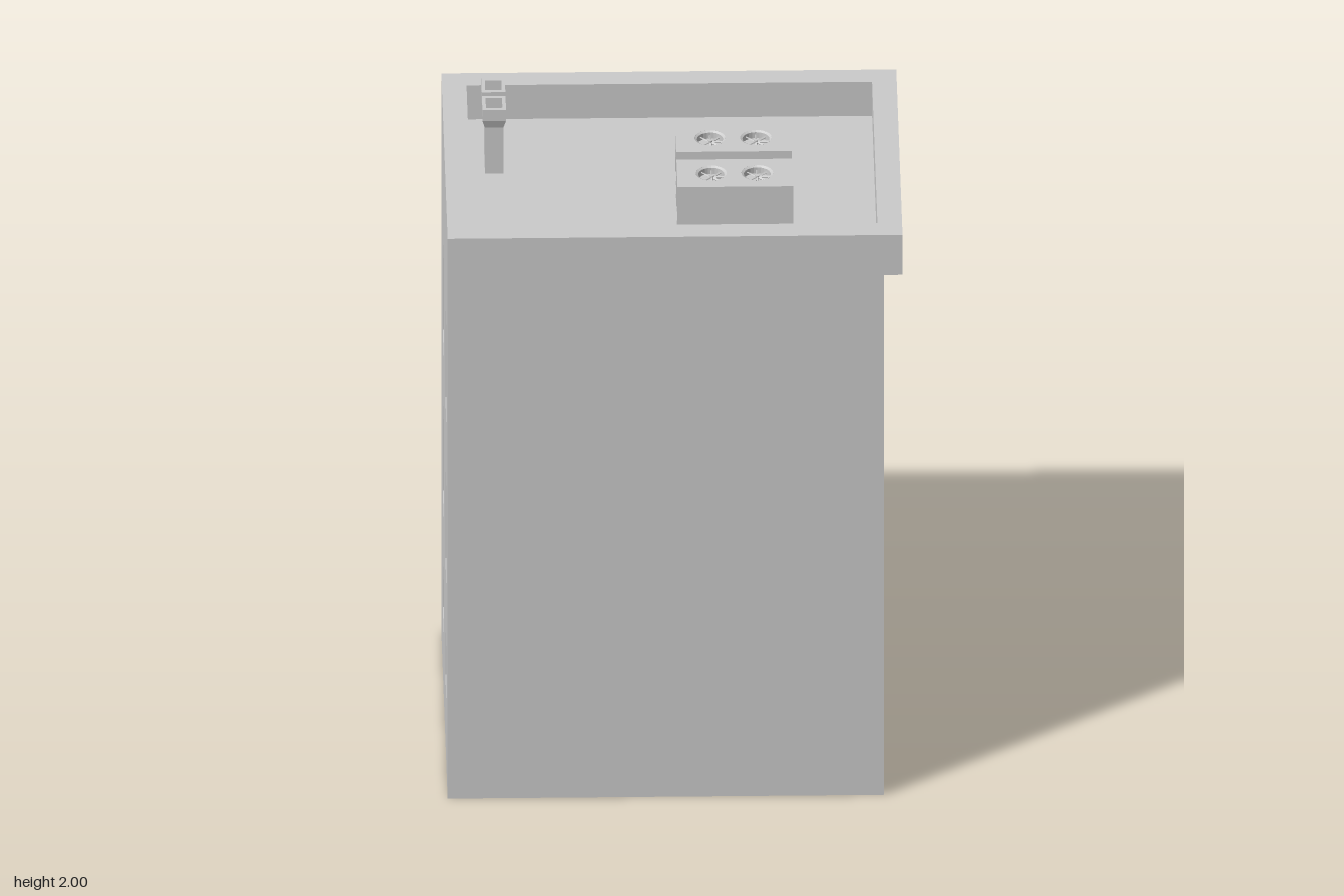
import * as THREE from 'three';

const mat = new THREE.MeshStandardMaterial({ color: 0xcccccc, side: THREE.DoubleSide, flatShading: true });

const H = 1.895, ROOF = 1.78, DEPTH = 0.05;
const X0 = -0.675, X1 = 0.62, XC = 0.675, Z = 0.51;

function add(parent, geometry, name, x = 0, y = 0, z = 0) {
  const mesh = new THREE.Mesh(geometry, mat);
  mesh.name = name;
  mesh.position.set(x, y, z);
  parent.add(mesh);
  return mesh;
}

function box(parent, name, x0, x1, y0, y1, z0, z1) {
  return add(parent, new THREE.BoxGeometry(x1 - x0, y1 - y0, z1 - z0), name,
    (x0 + x1) / 2, (y0 + y1) / 2, (z0 + z1) / 2);
}

const poly = (pts, Type = THREE.Shape) => new Type(pts.map(p => new THREE.Vector2(...p)));
const rect = (x0, y0, x1, y1, Type) => poly([[x0, y0], [x1, y0], [x1, y1], [x0, y1]], Type);

// Rectangular sash with a pane set into it
function sash(parent, name, x0, y0, x1, y1, z, border = 0.013, thick = 0.013) {
  const shape = rect(x0, y0, x1, y1);
  shape.holes.push(rect(x0 + border, y0 + border, x1 - border, y1 - border, THREE.Path));
  add(parent, new THREE.ExtrudeGeometry(shape, { depth: thick, bevelEnabled: false }), name, 0, 0, z);
  add(parent, new THREE.ShapeGeometry(rect(x0, y0, x1, y1)), name + 'Pane', 0, 0, z + 0.002);
}

// Sides of an opening, running back from the wall face
function reveal(parent, x0, y0, x1, y1, withSill = true) {
  const w = x1 - x0, h = y1 - y0, cx = (x0 + x1) / 2, cy = (y0 + y1) / 2;
  for (const x of [x0, x1])
    add(parent, new THREE.PlaneGeometry(DEPTH, h), 'jamb', x, cy, -DEPTH / 2).rotation.y = x === x0 ? Math.PI / 2 : -Math.PI / 2;
  add(parent, new THREE.PlaneGeometry(w, DEPTH), 'lintel', cx, y1, -DEPTH / 2).rotation.x = Math.PI / 2;
  if (withSill)
    add(parent, new THREE.PlaneGeometry(w, DEPTH), 'sill', cx, y0, -DEPTH / 2).rotation.x = -Math.PI / 2;
}

function makeWindow(parent, [x0, y0, x1, y1]) {
  const g = new THREE.Group();
  g.name = 'window';
  reveal(g, x0, y0, x1, y1);
  if (y1 - y0 > 0.25) {
    const mid = (y0 + y1) / 2;
    sash(g, 'upperSash', x0, mid - 0.006, x1, y1, -DEPTH + 0.015);
    sash(g, 'lowerSash', x0, y0, x1, mid + 0.006, -DEPTH);
  } else sash(g, 'smallSash', x0, y0, x1, y1, -DEPTH);
  parent.add(g);
}

// Four tall panels filling the wide entrance
function makeDoor(parent, x0, x1, top) {
  const g = new THREE.Group();
  g.name = 'entrance';
  reveal(g, x0, 0, x1, top, false);
  const w = (x1 - x0) / 4;
  for (let i = 0; i < 4; i++)
    sash(g, 'doorPanel', x0 + i * w, 0, x0 + (i + 1) * w, top, -DEPTH, 0.014, 0.016);
  parent.add(g);
}

// Wall in its own plane facing +z, with windows and an optional door
function makeWall(name, x0, x1, windows = [], door = null) {
  const g = new THREE.Group();
  g.name = name;
  const outline = [[x0, 0]];
  if (door) outline.push([door[0], 0], [door[0], door[2]], [door[1], door[2]], [door[1], 0]);
  outline.push([x1, 0], [x1, H], [x0, H]);
  const shape = poly(outline);
  for (const w of windows) shape.holes.push(rect(...w, THREE.Path));
  add(g, new THREE.ShapeGeometry(shape), name + 'Face');
  windows.forEach(w => makeWindow(g, w));
  if (door) makeDoor(g, ...door);
  return g;
}

// Window openings for a column centre: two tall ones, and a small one at ground level
const tall = cx => [[cx - 0.095, 0.6, cx + 0.095, 0.93], [cx - 0.095, 1.145, cx + 0.095, 1.475]];
const small = cx => [cx - 0.087, 0.21, cx + 0.087, 0.387];

function makeChimney(x, z) {
  const g = new THREE.Group();
  g.name = 'chimney';
  // Square flue: shaft, flared cap and open inside
  const profile = [[0.78, ROOF], [0.78, 1.935], [1, 1.962], [1, 2], [0.7, 2], [0.7, 1.9], [0, 1.9]]
    .map(([r, y]) => new THREE.Vector2(r * Math.SQRT2, y));
  const geo = new THREE.LatheGeometry(profile, 4, Math.PI / 4);
  geo.scale(0.035, 1, 0.043);
  add(g, geo, 'flue');
  g.position.set(x, 0, z);
  return g;
}

function makeRoofUnit(z0, z1) {
  const g = new THREE.Group();
  g.name = 'coolingUnit';
  const x0 = 0.01, x1 = 0.355, top = 1.945, slab = 0.025, cz = (z0 + z1) / 2;
  box(g, 'core', x0 + 0.007, x1 - 0.007, ROOF, top - slab, z0 + 0.007, z1 - 0.007);
  box(g, 'baseRail', x0, x1, ROOF, ROOF + 0.014, z0, z1);
  for (const x of [x0, x1 - 0.014])
    for (const z of [z0, z1 - 0.014])
      box(g, 'cornerPost', x, x + 0.014, ROOF, top - slab, z, z + 0.014);
  // Lid with two round fan openings
  const lid = rect(x0, -z1, x1, -z0);
  for (const fx of [0.113, 0.25]) {
    lid.holes.push(new THREE.Path().absarc(fx, -cz, 0.047, 0, Math.PI * 2, true));
    const fan = new THREE.Group();
    fan.name = 'fan';
    fan.position.set(fx, top, cz);
    const rim = [[0.047, 0], [0.04, -0.004], [0.04, -0.024]].map(p => new THREE.Vector2(...p));
    add(fan, new THREE.LatheGeometry(rim, 24), 'fanRim');
    add(fan, new THREE.CylinderGeometry(0.006, 0.006, 0.012, 12), 'hub', 0, -0.014, 0);
    for (let i = 0; i < 8; i++) {
      const geo = new THREE.BoxGeometry(0.036, 0.003, 0.006).rotateX(0.5).translate(0.022, 0, 0);
      add(fan, geo, 'blade', 0, -0.014, 0).rotation.y = i * Math.PI / 4;
    }
    g.add(fan);
  }
  const lidGeo = new THREE.ExtrudeGeometry(lid, { depth: slab, bevelEnabled: false, curveSegments: 24 });
  add(g, lidGeo.rotateX(-Math.PI / 2), 'lid', 0, top - slab, 0);
  return g;
}

export function createModel() {
  const model = new THREE.Group();
  model.name = 'building';

  // Plain walls
  const front = makeWall('frontWall', X0, X1);
  front.position.z = Z;
  const left = makeWall('leftWall', -Z, Z);
  left.rotation.y = Math.PI / 2;
  left.position.x = X1;

  // Rear wall with entrance (its local x is mirrored)
  const back = makeWall('backWall', -X1, -X0,
    [...tall(-0.305), ...tall(0.03), ...tall(0.36), small(0.362)], [-0.4, 0.127, 0.387]);
  back.rotation.y = Math.PI;
  back.position.z = -Z;

  // Side wall with two window columns
  const right = makeWall('rightWall', -Z, Z,
    [...tall(-0.203), ...tall(0.214), small(-0.203), small(0.214)]);
  right.rotation.y = -Math.PI / 2;
  right.position.x = X0;
  model.add(front, left, back, right);

  // Cornice overhanging one side
  box(model, 'cornice', X1, XC, 1.76, H, -Z, Z);

  // Parapet cap, inner parapet faces and sunken roof
  const ix = 0.602, iz = 0.435;
  const cap = rect(X0, -Z, XC, Z);
  cap.holes.push(rect(-ix, -iz, ix, iz, THREE.Path));
  add(model, new THREE.ShapeGeometry(cap).rotateX(-Math.PI / 2), 'parapetCap', 0, H, 0);
  const h = H - ROOF, y = (H + ROOF) / 2;
  for (const s of [-1, 1]) {
    add(model, new THREE.PlaneGeometry(ix * 2, h), 'parapetInside', 0, y, s * iz).rotation.y = s > 0 ? Math.PI : 0;
    add(model, new THREE.PlaneGeometry(iz * 2, h), 'parapetInside', s * ix, y, 0).rotation.y = -s * Math.PI / 2;
  }
  add(model, new THREE.PlaneGeometry(ix * 2, iz * 2).rotateX(-Math.PI / 2), 'roof', 0, ROOF, 0);

  // Rooftop equipment
  model.add(makeRoofUnit(-0.092, 0.078), makeRoofUnit(0.125, 0.295));
  model.add(makeChimney(-0.526, -0.243), makeChimney(-0.526, -0.134));
  return model;
}
